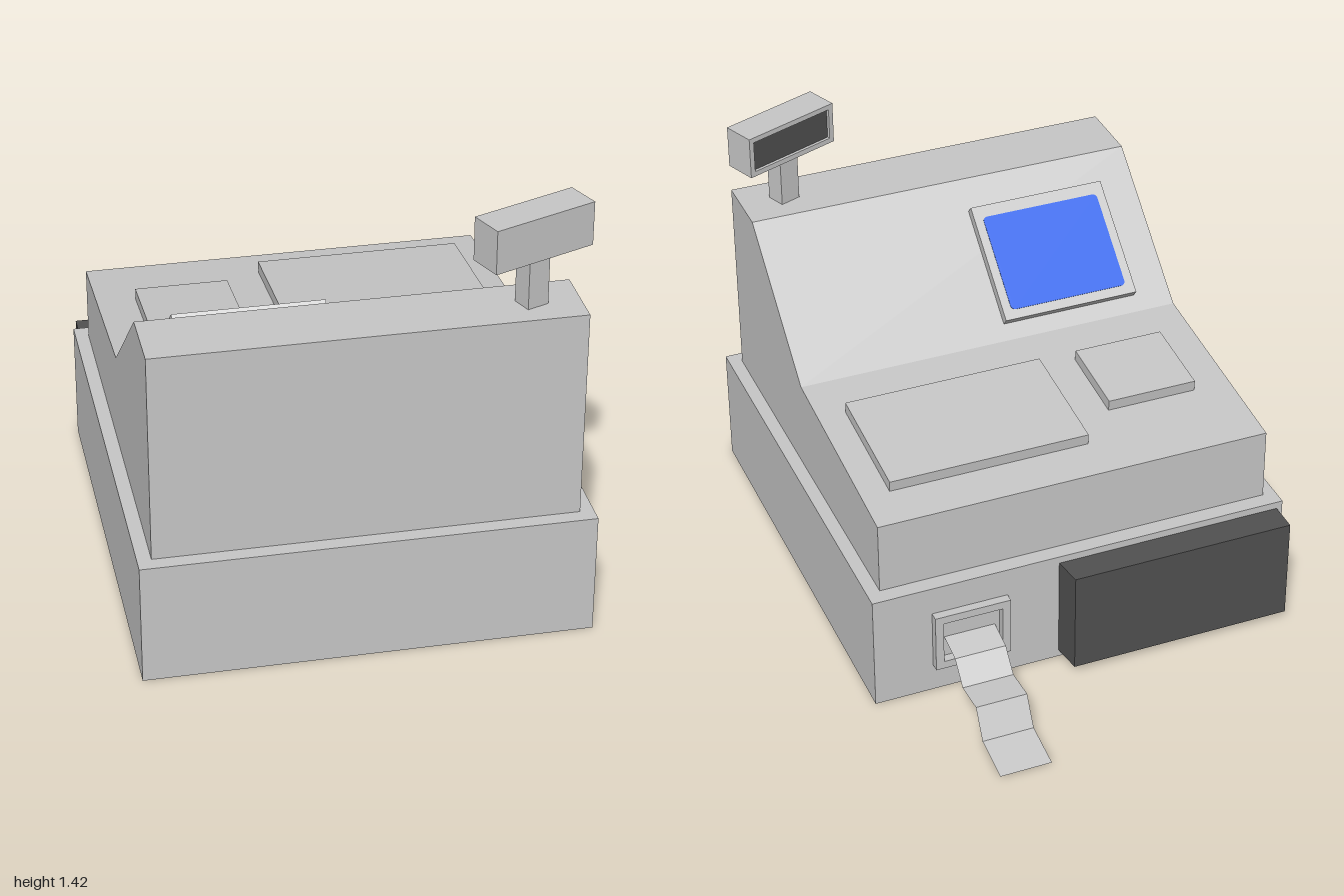
import * as THREE from 'three';

const mat = (name, color, side = THREE.FrontSide) => {
  const m = new THREE.MeshStandardMaterial({ color, side });
  m.name = name;
  return m;
};

function add(parent, name, geometry, material, x = 0, y = 0, z = 0) {
  const mesh = new THREE.Mesh(geometry, material);
  mesh.name = name;
  mesh.position.set(x, y, z);
  parent.add(mesh);
  return mesh;
}

const box = (w, h, d) => new THREE.BoxGeometry(w, h, d);

// Box whose vertices are moved by a rule
function shapedBox(w, h, d, rule) {
  const g = box(w, h, d);
  const p = g.attributes.position, v = new THREE.Vector3();
  for (let i = 0; i < p.count; i++) {
    rule(v.fromBufferAttribute(p, i));
    p.setXYZ(i, v.x, v.y, v.z);
  }
  g.computeVertexNormals();
  return g;
}

// Rectangular frame with an opening, centred on the origin
function frame(w, h, border, depth) {
  const rect = (target, a, b) => target.moveTo(-a, -b).lineTo(a, -b).lineTo(a, b).lineTo(-a, b).closePath();
  const s = rect(new THREE.Shape(), w / 2, h / 2);
  s.holes.push(rect(new THREE.Path(), w / 2 - border, h / 2 - border));
  return new THREE.ExtrudeGeometry(s, { depth, bevelEnabled: false }).translate(0, 0, -depth / 2);
}

// Thin plate with rounded corners, lying flat
function roundedPlate(w, l, r, t) {
  const a = w / 2, b = l / 2, s = new THREE.Shape();
  s.absarc(a - r, b - r, r, 0, Math.PI / 2);
  s.absarc(-a + r, b - r, r, Math.PI / 2, Math.PI);
  s.absarc(-a + r, -b + r, r, Math.PI, Math.PI * 1.5);
  s.absarc(a - r, -b + r, r, Math.PI * 1.5, Math.PI * 2);
  return new THREE.ExtrudeGeometry(s, { depth: t, bevelEnabled: false, curveSegments: 4 }).rotateX(-Math.PI / 2);
}

// Group resting on a sloped surface; its local y is the surface normal
function onSlope(parent, name, x, y, z, slope) {
  const g = new THREE.Group();
  g.name = name;
  g.position.set(x, y, z);
  g.rotation.x = -Math.atan(slope);
  parent.add(g);
  return g;
}

export function createModel() {
  const model = new THREE.Group();
  model.name = 'cashRegister';
  const gray = mat('casing gray', 0xc6c6c6);
  const dark = mat('dark gray', 0x505050);
  const blue = mat('screen blue', 0x2563eb);
  const paperGray = mat('paper gray', 0xc8c8c8, THREE.DoubleSide);

  // Base
  add(model, 'base', box(1.44, 0.41, 1.52), gray, 0, 0.205, 0.24);

  // Upper casing: side profile in (z, y) extruded across x
  const profile = new THREE.Shape([[-0.465, 0.4], [0.95, 0.4], [0.95, 1.11], [0.72, 1.11], [0.265, 0.73], [-0.465, 0.66]]
    .map(([z, y]) => new THREE.Vector2(z, y)));
  const casing = new THREE.ExtrudeGeometry(profile, { depth: 1.35, bevelEnabled: false });
  casing.translate(0, 0, -0.675).rotateY(-Math.PI / 2);
  add(model, 'upperCasing', casing, gray);

  // Operator screen on the steep slope
  const steep = 0.38 / 0.455;
  const screen = onSlope(model, 'operatorScreen', -0.305, 0.901, 0.47, steep);
  add(screen, 'screenPanel', box(0.48, 0.034, 0.415), gray, 0, 0.017, 0);
  add(screen, 'screenGlass', roundedPlate(0.42, 0.34, 0.015, 0.004), blue, 0, 0.032, -0.005);

  // Key pads on the shallow slope
  const shallow = 0.07 / 0.73;
  for (const [name, x, z, w, l] of [['largeKeypad', 0.2375, -0.11, 0.685, 0.417], ['smallKeypad', -0.39, -0.045, 0.31, 0.281]]) {
    const pad = onSlope(model, name, x, 0.73 + (z - 0.265) * shallow, z, shallow);
    add(pad, name + 'Plate', box(w, 0.038, l), gray, 0, 0.019, 0);
  }

  // Customer display on a turned post
  const display = new THREE.Group();
  display.name = 'customerDisplay';
  display.position.set(0.523, 0, 0.837);
  display.rotation.y = 0.375;
  model.add(display);
  add(display, 'displayPost', box(0.075, 0.18, 0.068), gray, 0, 1.19, 0);
  add(display, 'displayBody', box(0.36, 0.145, 0.1), gray, 0, 1.3525, 0.0075);
  add(display, 'displayUnderside', shapedBox(0.36, 0.012, 0.115, v => {
    if (v.y < 0) { v.x *= 0.25; v.z *= 0.65; }
  }), gray, 0, 1.275, 0);
  add(display, 'displayBezel', frame(0.36, 0.145, 0.018, 0.015), gray, 0, 1.3525, -0.05);
  add(display, 'displayGlass', box(0.324, 0.109, 0.006), dark, 0, 1.3525, -0.044);

  // Cash drawer front with one tapered end
  add(model, 'drawerFront', shapedBox(0.78, 0.36, 0.1, v => {
    if (v.x > 0 && v.z < 0) v.x -= 0.015;
  }), dark, -0.31, 0.205, -0.57);

  // Receipt slot
  add(model, 'receiptSlotFrame', frame(0.26, 0.21, 0.028, 0.03), gray, 0.39, 0.205, -0.535);

  // Folded receipt strip, as (z, y) points
  const folds = [[-0.515, 0.205], [-0.615, 0.185], [-0.68, 0.115], [-0.795, 0.124], [-0.85, 0.027], [-1, 0.003]];
  const strip = new THREE.PlaneGeometry(0.175, 1, 1, folds.length - 1);
  const p = strip.attributes.position;
  folds.forEach(([z, y], i) => {
    p.setXYZ(i * 2, -0.0875, y, z);
    p.setXYZ(i * 2 + 1, 0.0875, y, z);
  });
  const paper = strip.toNonIndexed();
  paper.computeVertexNormals();
  add(model, 'receiptPaper', paper, paperGray, 0.3925, 0, 0);

  return model;
}
